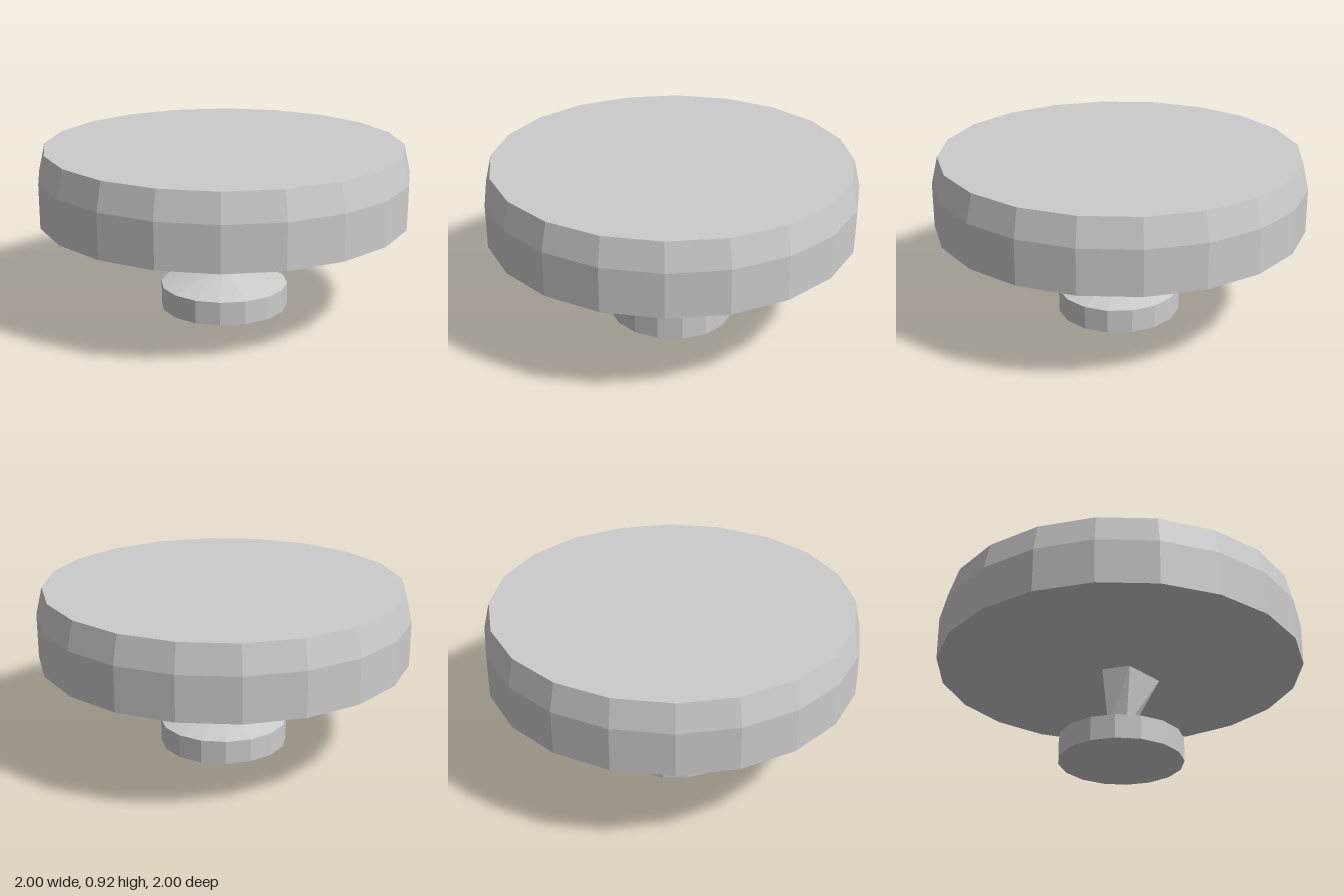
import * as THREE from 'three';

const material = new THREE.MeshStandardMaterial({ color: 0xcccccc, flatShading: true });

// Faceted turned part, with flats facing the four main axes
function turned(name, profile, sides) {
  const points = profile.map(([r, y]) => new THREE.Vector2(r, y));
  const mesh = new THREE.Mesh(new THREE.LatheGeometry(points, sides, Math.PI / sides), material);
  mesh.name = name;
  return mesh;
}

// Four-sided tapered post between two [x, z] loops, counter-clockwise from above
function post(name, lower, y0, upper, y1) {
  const positions = [];
  const n = lower.length;
  for (let i = 0; i < n; i++) {
    const j = (i + 1) % n;
    const a = [lower[i][0], y0, lower[i][1]];
    const b = [lower[j][0], y0, lower[j][1]];
    const c = [upper[j][0], y1, upper[j][1]];
    const d = [upper[i][0], y1, upper[i][1]];
    positions.push(...a, ...b, ...c, ...a, ...c, ...d);
  }
  const geometry = new THREE.BufferGeometry();
  geometry.setAttribute('position', new THREE.Float32BufferAttribute(positions, 3));
  geometry.computeVertexNormals();
  const mesh = new THREE.Mesh(geometry, material);
  mesh.name = name;
  return mesh;
}

export function createModel() {
  const group = new THREE.Group();
  group.name = 'pedestalTable';

  // Thick round top with a bevelled upper rim
  const k = 1 / Math.cos(Math.PI / 20);
  const top = turned('tableTop', [
    [0, 0.53], [k, 0.53], [k, 0.77], [0.965 * k, 0.92], [0, 0.92],
  ], 20);
  group.add(top);

  // Lopsided post, flaring towards the front left corner
  group.add(post('stem',
    [[0.045, 0.045], [0.045, -0.05], [-0.05, -0.05], [-0.03, 0.045]], 0.19,
    [[0.16, 0.19], [0.07, -0.08], [-0.08, -0.08], [-0.08, 0.08]], 0.54));

  // Round foot with a sloping upper face
  const foot = turned('foot', [
    [0, 0], [0.354, 0], [0.354, 0.13], [0.06, 0.205], [0, 0.205],
  ], 16);
  foot.scale.z = 0.96;
  foot.position.z = 0.007;
  group.add(foot);

  return group;
}
